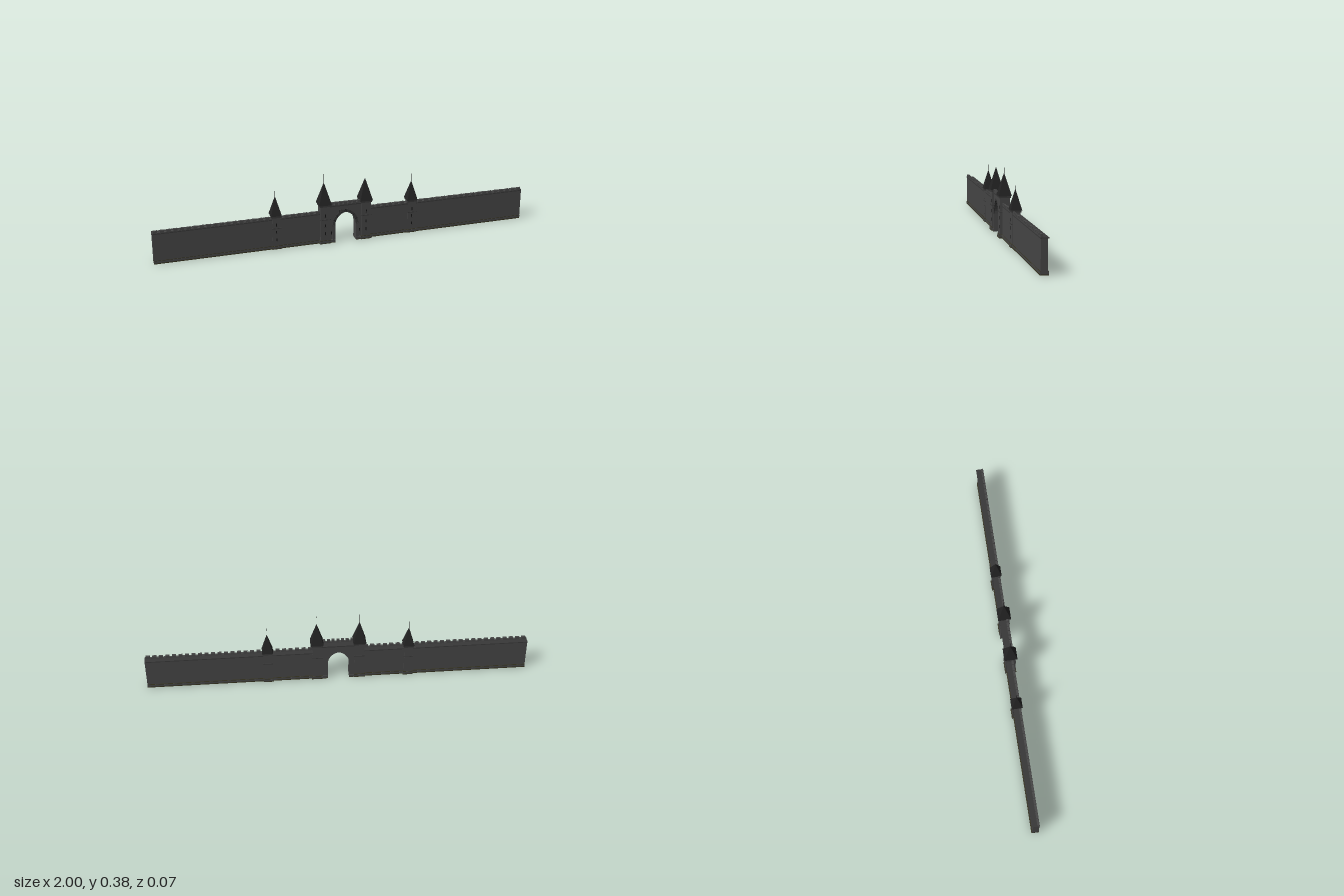
import * as THREE from 'three';

const mat = (name, color) => {
  const m = new THREE.MeshStandardMaterial({ color });
  m.name = name;
  return m;
};

export function createModel() {
  const stone = mat('stone', 0x464646);
  const trim = mat('trimStone', 0x383838);
  const slate = mat('roofSlate', 0x232323);
  const dark = mat('darkOpening', 0x141414);
  const moss = mat('mossyBase', 0x36331f);
  const model = new THREE.Group();
  model.name = 'castleWall';

  const group = (name, parent = model) => {
    const g = new THREE.Group();
    g.name = name;
    parent.add(g);
    return g;
  };
  const add = (parent, name, geo, material) => {
    const m = new THREE.Mesh(geo, material);
    m.name = name;
    parent.add(m);
    return m;
  };
  // Box given by its limits on each axis
  const box = (parent, name, material, x0, x1, y0, y1, z0, z1) => {
    const m = add(parent, name, new THREE.BoxGeometry(x1 - x0, y1 - y0, z1 - z0), material);
    m.position.set((x0 + x1) / 2, (y0 + y1) / 2, (z0 + z1) / 2);
    return m;
  };
  // Evenly spaced merlons along x
  const merlons = (parent, x0, x1, y0, y1, z0, z1, period) => {
    const n = Math.round((x1 - x0) / period);
    const step = (x1 - x0) / n;
    for (let i = 0; i < n; i++) {
      const c = x0 + (i + 0.5) * step;
      box(parent, 'merlon', stone, c - step * 0.31, c + step * 0.31, y0, y1, z0, z1);
    }
  };

  // Long curtain walls
  const curtainWall = (name, x0, x1) => {
    const g = group(name);
    box(g, 'wallBody', stone, x0, x1, 0.004, 0.164, -0.018, 0.0145);
    box(g, 'plinth', stone, x0, x1, 0.004, 0.016, -0.022, 0.0165);
    box(g, 'mossStrip', moss, x0, x1, 0, 0.005, -0.0225, 0.017);
    box(g, 'mossLine', moss, x0, x1, 0.0155, 0.018, -0.0215, 0.016);
    box(g, 'cornice', trim, x0, x1, 0.162, 0.167, -0.023, 0.0165);
    box(g, 'parapet', stone, x0, x1, 0.167, 0.171, 0.004, 0.015);
    merlons(g, x0, x1, 0.171, 0.181, 0.004, 0.015, 0.033);
  };
  curtainWall('rightWall', -1, -0.13);
  curtainWall('leftWall', 0.13, 1);

  // Square tower with pyramid roof, spike, band and arrow slits
  const tower = (name, x, z, t) => {
    const g = group(name);
    g.position.set(x, 0, z);
    const slab = (part, material, h, y0, y1) => box(g, part, material, -h, h, y0, y1, -h, h);
    slab('towerBody', stone, t.half, 0.004, t.top);
    slab('towerMossStrip', moss, t.half + 0.0045, 0, 0.004);
    slab('towerPlinth', stone, t.half + 0.004, 0.004, 0.016);
    slab('towerMossLine', moss, t.half + 0.003, 0.016, 0.018);
    slab('stringCourse', trim, t.half + 0.003, t.band, t.band + 0.004);
    slab('towerCornice', trim, t.half + 0.004, t.top - 0.01, t.top);

    const roof = add(g, 'roof', new THREE.ConeGeometry(t.roof * Math.SQRT2, t.apex - t.top, 4)
      .toNonIndexed().rotateY(Math.PI / 4), slate);
    roof.geometry.computeVertexNormals();
    roof.position.y = (t.top + t.apex) / 2;
    const spike = add(g, 'spike', new THREE.CylinderGeometry(0.0006, 0.001, t.spike - t.apex + 0.01, 6), slate);
    spike.position.y = (t.apex - 0.01 + t.spike) / 2;

    for (const y of t.slits) {
      box(g, 'arrowSlit', dark, -0.0025, 0.0025, y, y + 0.015, t.half - 0.001, t.half + 0.001);
      box(g, 'slitSill', trim, -0.0045, 0.0045, y - 0.003, y, t.half - 0.001, t.half + 0.0025);
    }
  };
  const small = { half: 0.0215, top: 0.185, band: 0.114, roof: 0.0285, apex: 0.288, spike: 0.327, slits: [0.045, 0.088, 0.128] };
  const large = { half: 0.0255, top: 0.217, band: 0.133, roof: 0.034, apex: 0.335, spike: 0.381, slits: [0.05, 0.095, 0.15] };
  tower('rightOuterTower', -0.368, -0.0045, small);
  tower('leftOuterTower', 0.368, -0.0045, small);
  tower('rightGateTower', -0.111, 0.001, large);
  tower('leftGateTower', 0.111, 0.001, large);

  // Pointed arch: half profile mirrored from springing to apex
  const gate = group('gatehouse');
  const half = 0.056, spring = 0.095, apex = 0.165;
  const archPoints = (grow) => {
    const w = half + grow, h = apex - spring + grow;
    // Arc centred beyond the middle so that it meets in a point
    const r = (w * w + h * h) / (2 * w);
    const end = Math.atan2(h, w - r);
    const right = [];
    for (let i = 0; i <= 10; i++) {
      const a = end * i / 10;
      right.push([w - r + r * Math.cos(a), spring + r * Math.sin(a)]);
    }
    return [...right, ...right.slice(0, -1).reverse().map(([px, py]) => [-px, py])];
  };
  const polygon = (pts) => new THREE.Shape(pts.map(([px, py]) => new THREE.Vector2(px, py)));
  const extrude = (pts, depth) => new THREE.ExtrudeGeometry(polygon(pts), { depth, bevelEnabled: false });

  const inner = archPoints(0);
  const body = add(gate, 'gateBody', extrude([
    [half, 0], ...inner, [-half, 0], [-0.1, 0], [-0.1, 0.202], [0.1, 0.202], [0.1, 0],
  ], 0.041), stone);
  body.position.z = -0.023;

  // Arch moulding on the front with radial joints
  const outer = archPoints(0.014);
  const ring = add(gate, 'archMoulding', extrude([...inner, ...outer.slice().reverse()], 0.004), trim);
  ring.position.z = 0.0175;
  for (let i = 0; i < inner.length; i += 2) {
    const [ax, ay] = inner[i], [bx, by] = outer[i];
    const joint = add(gate, 'archJoint', new THREE.BoxGeometry(Math.hypot(bx - ax, by - ay), 0.0025, 0.002), dark);
    joint.position.set((ax + bx) / 2, (ay + by) / 2, 0.0215);
    joint.rotation.z = Math.atan2(by - ay, bx - ax);
  }

  // Jambs beside the passage
  for (const s of [-1, 1]) {
    const at = (name, m, a, b, y0, y1, z0, z1) =>
      box(gate, name, m, Math.min(s * a, s * b), Math.max(s * a, s * b), y0, y1, z0, z1);
    at('gateJamb', stone, half, 0.07, 0, spring, 0.0175, 0.0215);
    at('jambBase', stone, half, 0.086, 0.003, 0.016, -0.026, 0.026);
    at('jambMoss', moss, half, 0.086, 0, 0.003, -0.0265, 0.0265);
    at('jambCapital', trim, half, 0.072, spring - 0.003, spring + 0.002, 0.0175, 0.0235);
    at('jambSlit', dark, 0.0735, 0.0785, 0.045, 0.06, 0.0175, 0.019);
  }

  // Gate cornice and battlement
  box(gate, 'gateCornice', trim, -0.088, 0.088, 0.2, 0.206, -0.0255, 0.0215);
  box(gate, 'gateParapet', stone, -0.086, 0.086, 0.206, 0.211, 0.008, 0.02);
  merlons(gate, -0.086, 0.086, 0.211, 0.223, 0.008, 0.02, 0.025);

  return model;
}
